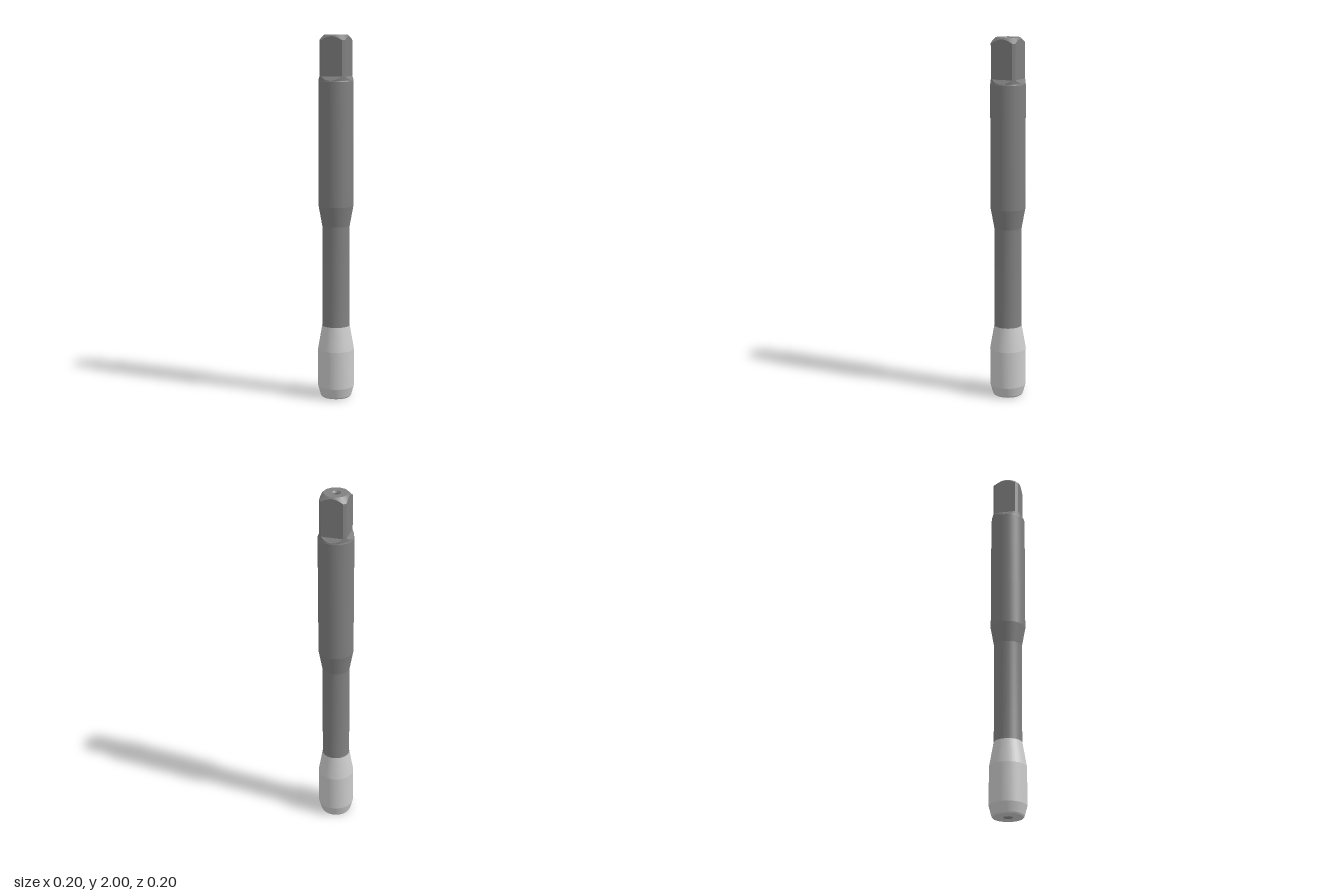
import * as THREE from 'three';
import { toCreasedNormals } from 'three/addons/utils/BufferGeometryUtils.js';

const BORE = 0.018, COUNTERSINK = 0.025;
const FLAT = 0.0725, CORNER = 0.0935; // square half width, corner radius
const CREASE = 0.12;

const headMaterial = new THREE.MeshStandardMaterial({ color: 0xcccccc });
const shankMaterial = new THREE.MeshStandardMaterial({ color: 0x808080 });

function addMesh(group, name, geometry, material) {
  const mesh = new THREE.Mesh(toCreasedNormals(geometry, CREASE), material);
  mesh.name = name;
  group.add(mesh);
}

// Turned part from [radius, height] pairs, listed upwards on the outside
function turned(points) {
  return new THREE.LatheGeometry(points.map(([r, y]) => new THREE.Vector2(r, y)), 96);
}

// Square end with rounded corners, sloped floors and a conical top chamfer
function squareDrive() {
  const edge = Math.acos(FLAT / CORNER);
  const angles = [];
  for (let q = 0; q < 4; q++) {
    const mid = q * Math.PI / 2;
    for (let i = 0; i < 20; i++) angles.push(mid - edge + 2 * edge * i / 20);
    for (let i = 0; i < 4; i++) angles.push(mid + edge + (Math.PI / 2 - 2 * edge) * i / 4);
  }
  const profileAt = (a) => {
    const m = Math.max(Math.abs(Math.cos(a)), Math.abs(Math.sin(a)));
    const r = Math.min(FLAT / m, CORNER);
    const d = Math.max(FLAT, CORNER * m);
    return [
      [CORNER, 1.758],
      [CORNER, 1.758 + 0.022 * (CORNER - d) / (CORNER - FLAT)],
      [r, 1.78],
      [r, 2 - (r - 0.065)],
      [0.065, 2],
      [COUNTERSINK, 2],
    ];
  };
  const rows = 6, n = angles.length;
  const positions = [], index = [];
  for (const a of angles) {
    for (const [r, y] of profileAt(a)) positions.push(r * Math.sin(a), y, r * Math.cos(a));
  }
  for (let i = 0; i < n; i++) {
    for (let j = 0; j < rows - 1; j++) {
      const a = i * rows + j, b = ((i + 1) % n) * rows + j;
      index.push(a, b, b + 1, a, b + 1, a + 1);
    }
  }
  const geometry = new THREE.BufferGeometry();
  geometry.setAttribute('position', new THREE.Float32BufferAttribute(positions, 3));
  geometry.setIndex(index);
  geometry.computeVertexNormals();
  return geometry;
}

export function createModel() {
  const group = new THREE.Group();
  group.name = 'threadingTool';

  // Working head with tapered lead-in and neck transition
  addMesh(group, 'cuttingHead', turned([
    [COUNTERSINK, 0], [0.081, 0], [0.086, 0.008], [0.1, 0.06],
    [0.1, 0.27], [0.0765, 0.405],
  ]), headMaterial);

  // Slim neck widening into the shank
  addMesh(group, 'shank', turned([
    [0.0765, 0.405], [0.0755, 0.415], [0.0755, 0.965],
    [0.0955, 1.075], [0.0955, 1.752], [CORNER, 1.758],
  ]), shankMaterial);

  addMesh(group, 'squareDrive', squareDrive(), shankMaterial);

  // Coolant bore, listed downwards so that it faces the axis
  addMesh(group, 'centreBore', turned([
    [COUNTERSINK, 2], [BORE, 1.99], [BORE, 0.01], [COUNTERSINK, 0],
  ]), shankMaterial);

  return group;
}
